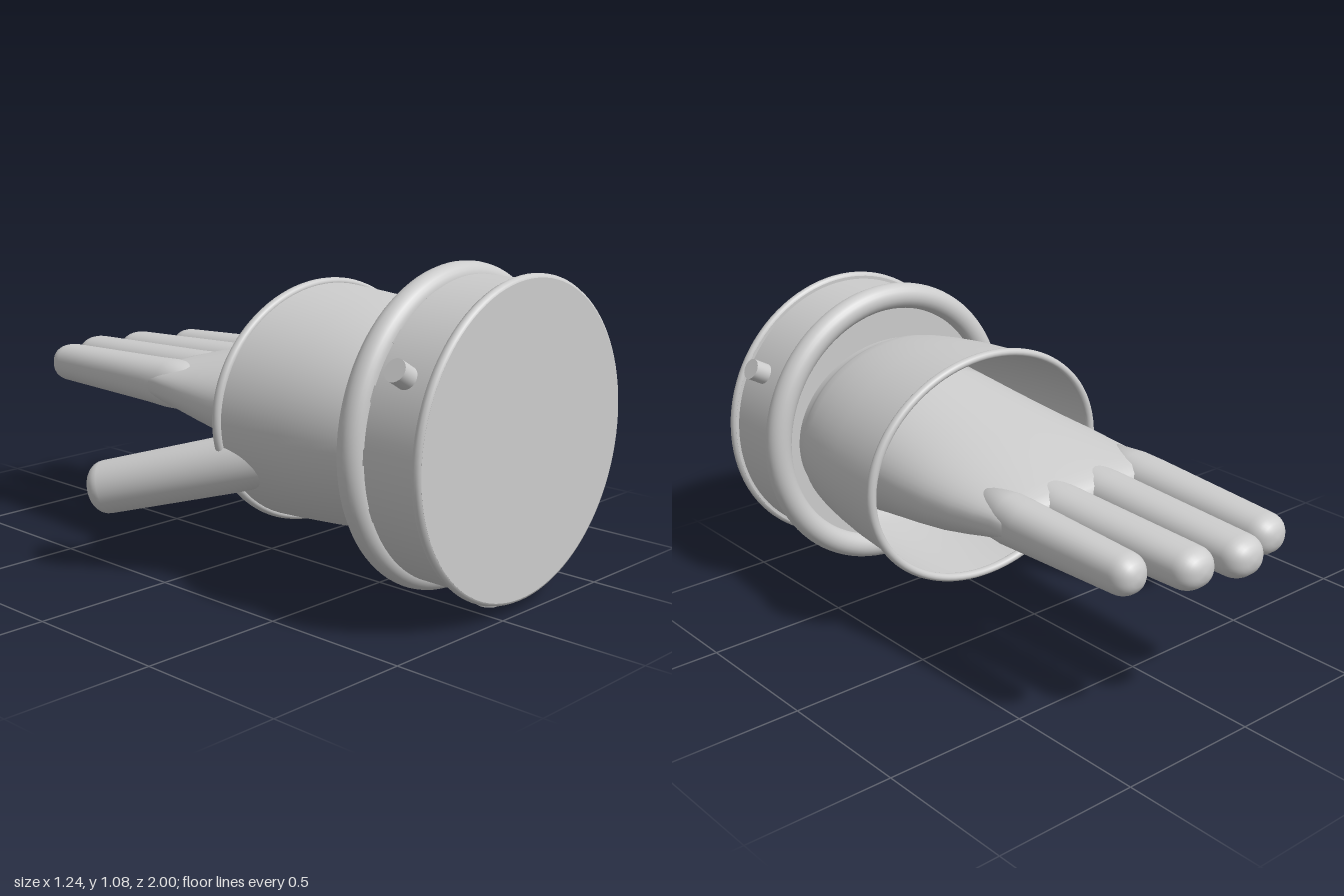
import * as THREE from 'three';

const CX = 0.09, CY = 0.55; // axis of the cuff and coupling

// Closed loft through superellipse rings [cx, cy, z, rx, ry, exponent], z decreasing
function loft(rings, seg = 40) {
  const pos = [], idx = [];
  for (const [cx, cy, z, rx, ry, n = 2] of rings) {
    for (let j = 0; j < seg; j++) {
      const t = (j / seg) * Math.PI * 2, c = Math.cos(t), s = Math.sin(t);
      pos.push(cx + rx * Math.sign(c) * Math.abs(c) ** (2 / n),
        cy + ry * Math.sign(s) * Math.abs(s) ** (2 / n), z);
    }
  }
  const last = rings.length - 1;
  for (let i = 0; i < last; i++) {
    for (let j = 0; j < seg; j++) {
      const k = (j + 1) % seg, a = i * seg + j, b = i * seg + k;
      idx.push(a, a + seg, b, b, a + seg, b + seg);
    }
  }
  const first = pos.length / 3;
  pos.push(...rings[0].slice(0, 3), ...rings[last].slice(0, 3));
  for (let j = 0; j < seg; j++) {
    const k = (j + 1) % seg;
    idx.push(first, j, k, first + 1, last * seg + k, last * seg + j);
  }
  const g = new THREE.BufferGeometry();
  g.setAttribute('position', new THREE.Float32BufferAttribute(pos, 3));
  g.setIndex(idx);
  g.computeVertexNormals();
  return g;
}

// Rounded end added after the last ring
function roundTip([cx, cy, z, rx, ry, n], depth) {
  const out = [];
  for (let i = 1; i <= 7; i++) {
    const a = (i / 7) * Math.PI * 0.48;
    const f = Math.cos(a) ** 0.8;
    out.push([cx, cy, z - depth * Math.sin(a), rx * f, ry * f, n]);
  }
  return out;
}

export function createModel() {
  const group = new THREE.Group();
  const grey = new THREE.MeshStandardMaterial({ color: 0xcccccc, side: THREE.DoubleSide });
  grey.name = 'light grey';

  const add = (name, geometry, x = 0, y = 0, z = 0) => {
    const m = new THREE.Mesh(geometry, grey);
    m.name = name;
    m.position.set(x, y, z);
    group.add(m);
    return m;
  };
  // Round drum along z from z0 to z1
  const drum = (name, r, z0, z1) =>
    add(name, new THREE.CylinderGeometry(r, r, z1 - z0, 96).rotateX(Math.PI / 2), CX, CY, (z0 + z1) / 2);

  // Coupling at the wrist
  drum('couplingBand', 0.49, 0.775, 0.975);
  drum('couplingCollar', 0.47, 0.715, 0.78);
  const flange = [[0.5, 0.968], [0.509, 0.971], [0.513, 0.98], [0.513, 0.988], [0.508, 0.997], [0.5, 1]];
  add('flangeEdge', new THREE.LatheGeometry(flange.map(p => new THREE.Vector2(...p)), 96).rotateX(Math.PI / 2), CX, CY);
  drum('flangePlate', 0.501, 0.968, 1);
  add('sealRing', new THREE.TorusGeometry(0.48, 0.046, 24, 96), CX, CY, 0.72);

  // Small clips in the gap behind the seal ring
  for (let i = 0; i < 16; i++) {
    const a = (i / 16) * Math.PI * 2;
    const clip = add('clip', new THREE.BoxGeometry(0.02, 0.05, 0.03),
      CX + 0.474 * Math.cos(a), CY + 0.474 * Math.sin(a), 0.768);
    clip.rotation.z = a;
  }

  // Three locking pegs
  for (const deg of [30, 150, 270]) {
    const a = THREE.MathUtils.degToRad(deg);
    const peg = add('lockingPeg', new THREE.CylinderGeometry(0.037, 0.037, 0.1, 32),
      CX + 0.5 * Math.cos(a), CY + 0.5 * Math.sin(a), 0.875);
    peg.rotation.z = a - Math.PI / 2;
  }

  // Open oval cuff and its rolled lip
  const cuff = [[0.489, 0.15], [0.482, 0.25], [0.469, 0.4], [0.452, 0.52], [0.434, 0.61],
    [0.423, 0.65], [0.412, 0.67], [0.4, 0.69], [0.395, 0.72]];
  add('cuff', new THREE.LatheGeometry(cuff.map(p => new THREE.Vector2(...p)), 80)
    .rotateX(Math.PI / 2).scale(1, 0.815, 1), CX, CY);
  add('cuffLip', new THREE.TorusGeometry(0.488, 0.017, 14, 96).scale(1, 0.82, 1), CX, CY, 0.15);

  // Palm flattening from the wrist to the knuckles
  add('palm', loft([
    [0.09, 0.55, 0.72, 0.37, 0.3, 2],
    [0.09, 0.55, 0.45, 0.385, 0.255, 2],
    [0.09, 0.555, 0.14, 0.39, 0.195, 2.1],
    [0.088, 0.56, 0, 0.39, 0.165, 2.2],
    [0.086, 0.567, -0.12, 0.382, 0.136, 2.3],
    [0.083, 0.573, -0.22, 0.37, 0.108, 2.5],
    [0.081, 0.577, -0.29, 0.36, 0.088, 2.8],
    [0.081, 0.578, -0.34, 0.354, 0.074, 3],
    [0.081, 0.578, -0.37, 0.34, 0.055, 3],
    [0.081, 0.578, -0.385, 0.31, 0.025, 3],
  ], 64));

  // Four fingers: base x, tip x, tip z, base and tip half width
  const fingers = [
    [-0.187, -0.175, -0.94, 0.088, 0.074],
    [-0.003, 0, -1.0, 0.088, 0.079],
    [0.186, 0.172, -0.96, 0.088, 0.078],
    [0.354, 0.345, -0.86, 0.081, 0.067],
  ];
  for (const [bx, tx, tz, bw, tw] of fingers) {
    const tip = [tx, 0.57, tz + 0.068, tw, 0.067, 2.3];
    const mid = f => [bx + (tx - bx) * f, 0.578 - 0.008 * f, -0.38 + (tip[2] + 0.38) * f,
      bw + (tw - bw) * f, 0.079 - 0.012 * f, 2.3];
    add('finger', loft([
      [bx, 0.577, -0.18, bw * 0.8, 0.08, 2.2],
      [bx, 0.578, -0.3, bw * 0.97, 0.084, 2.3],
      mid(0), mid(0.33), mid(0.66), tip, ...roundTip(tip, 0.068),
    ]));
  }

  // Thumb angled outward and down
  const from = new THREE.Vector3(-0.13, 0.504, 0.5), to = new THREE.Vector3(-0.56, 0.272, -0.29);
  const dir = to.clone().sub(from), len = dir.length();
  const end = [0, 0, -len + 0.055, 0.09, 0.09, 2];
  const thumb = add('thumb', loft([
    [0, 0, 0, 0.085, 0.085], [0, 0, -len * 0.45, 0.096, 0.096], end, ...roundTip(end, 0.06),
  ]), from.x, from.y, from.z);
  thumb.quaternion.setFromUnitVectors(new THREE.Vector3(0, 0, -1), dir.normalize());

  return group;
}
